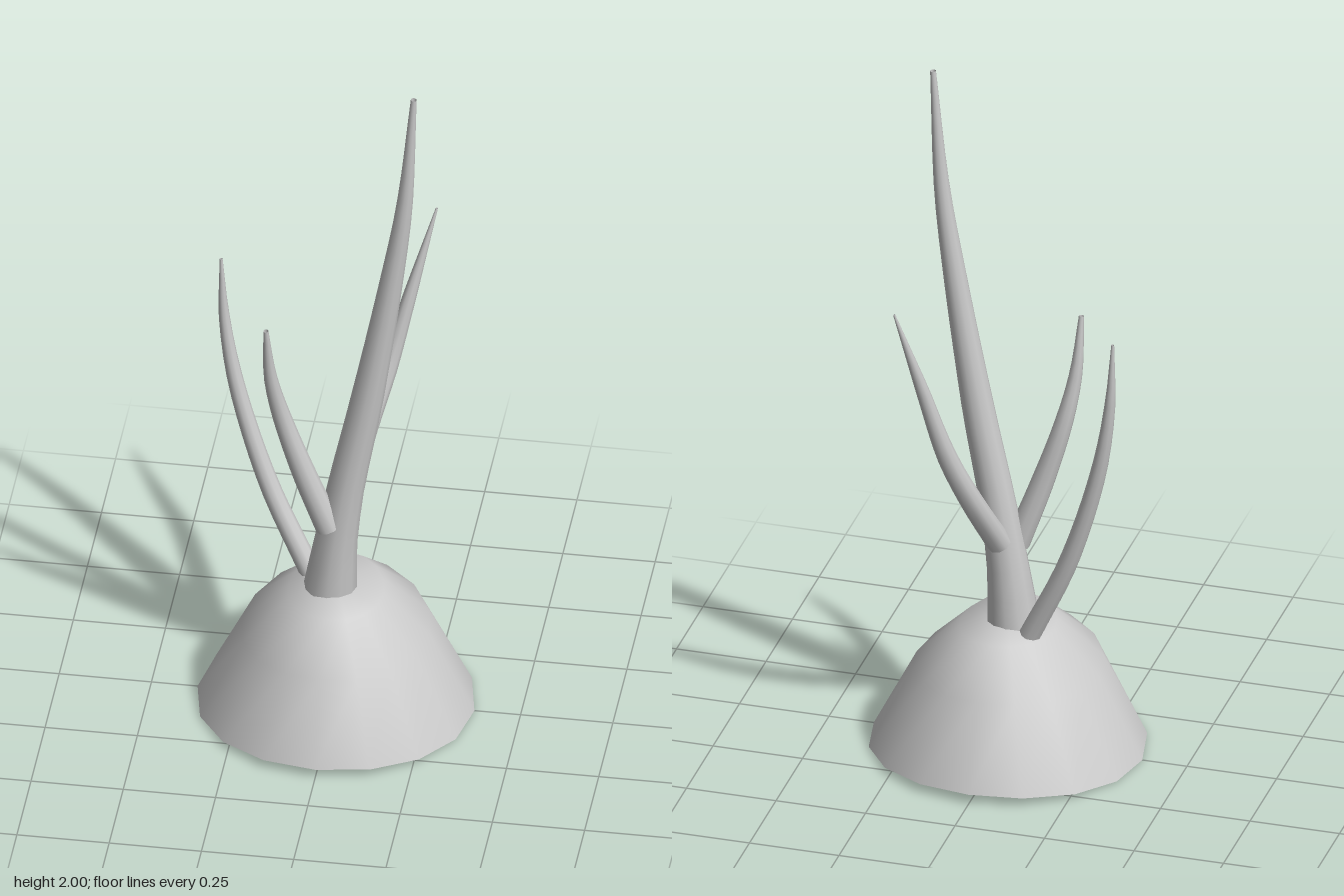
import * as THREE from 'three';

const material = new THREE.MeshStandardMaterial({ color: 0xcccccc, side: THREE.DoubleSide });

// Tapered tube through stations of [x, y, z, radius]
function stalk(name, stations, segments = 16, sides = 10) {
  const curve = new THREE.CatmullRomCurve3(stations.map(([x, y, z]) => new THREE.Vector3(x, y, z)));
  const geo = new THREE.TubeGeometry(curve, segments, 1, sides);
  const pos = geo.attributes.position;
  const p = new THREE.Vector3();
  for (let i = 0; i <= segments; i++) {
    const u = i / segments;
    const centre = curve.getPointAt(u);
    const t = curve.getUtoTmapping(u) * (stations.length - 1);
    const k = Math.min(Math.floor(t), stations.length - 2);
    const radius = THREE.MathUtils.lerp(stations[k][3], stations[k + 1][3], t - k);
    for (let j = 0; j <= sides; j++) {
      const n = i * (sides + 1) + j;
      p.fromBufferAttribute(pos, n).sub(centre).multiplyScalar(radius).add(centre);
      pos.setXYZ(n, p.x, p.y, p.z);
    }
  }
  const mesh = new THREE.Mesh(geo, material);
  mesh.name = name;
  return mesh;
}

// Open dome whose rings are ovals, with a rim that lifts towards front and back
function dome() {
  // [x radius, z radius, y at the sides, y at front and back]
  const rings = [
    [0.375, 0.375, 0, 0.03],
    [0.255, 0.29, 0.235, 0.265],
    [0.13, 0.16, 0.36, 0.372],
    [0, 0, 0.385, 0.385],
  ];
  const sides = 16;
  const positions = [];
  const index = [];
  rings.forEach(([rx, rz, ySide, yFront], i) => {
    for (let j = 0; j < sides; j++) {
      const a = (j / sides) * Math.PI * 2;
      const s = Math.sin(a);
      positions.push(rx * Math.cos(a), ySide + (yFront - ySide) * s * s, rz * s);
      if (i === rings.length - 1) continue;
      const n = (j + 1) % sides;
      const [A, B, C, D] = [i * sides + j, i * sides + n, (i + 1) * sides + n, (i + 1) * sides + j];
      index.push(A, D, B);
      if (i < rings.length - 2) index.push(B, D, C);
    }
  });
  const geo = new THREE.BufferGeometry();
  geo.setAttribute('position', new THREE.Float32BufferAttribute(positions, 3));
  geo.setIndex(index);
  geo.computeVertexNormals();
  // Every apex vertex points straight up
  for (let j = 0; j < sides; j++) geo.attributes.normal.setXYZ((rings.length - 1) * sides + j, 0, 1, 0);
  const mesh = new THREE.Mesh(geo, material);
  mesh.name = 'dome';
  return mesh;
}

export function createModel() {
  const group = new THREE.Group();
  group.name = 'sproutingMound';
  group.add(dome());

  // Tall central stem, leaning to +x
  group.add(stalk('mainStem', [
    [-0.015, 0.37, 0, 0.072],
    [0, 0.52, 0.003, 0.058],
    [0.027, 0.7, 0.005, 0.05],
    [0.085, 1.0, 0.005, 0.044],
    [0.152, 1.4, 0.007, 0.031],
    [0.187, 1.65, 0.008, 0.022],
    [0.212, 2.0, 0.009, 0.008],
  ], 20, 12));

  // Thin shoot rising from the dome beside the stem
  group.add(stalk('sideShoot', [
    [-0.08, 0.37, -0.062, 0.03],
    [-0.195, 0.62, -0.092, 0.027],
    [-0.287, 0.92, -0.117, 0.022],
    [-0.322, 1.13, -0.128, 0.015],
    [-0.331, 1.32, -0.13, 0.004],
  ]));

  // Branch growing from the front of the stem
  group.add(stalk('frontBranch', [
    [-0.015, 0.59, 0.035, 0.036],
    [-0.08, 0.77, 0.048, 0.032],
    [-0.138, 0.96, 0.062, 0.025],
    [-0.165, 1.1, 0.083, 0.018],
    [-0.174, 1.265, 0.105, 0.007],
  ]));

  // Branch growing from the back of the stem
  group.add(stalk('backBranch', [
    [0.015, 0.62, -0.035, 0.034],
    [0.062, 0.8, -0.145, 0.031],
    [0.11, 0.96, -0.21, 0.027],
    [0.165, 1.18, -0.258, 0.018],
    [0.226, 1.42, -0.31, 0.003],
  ]));
  return group;
}
